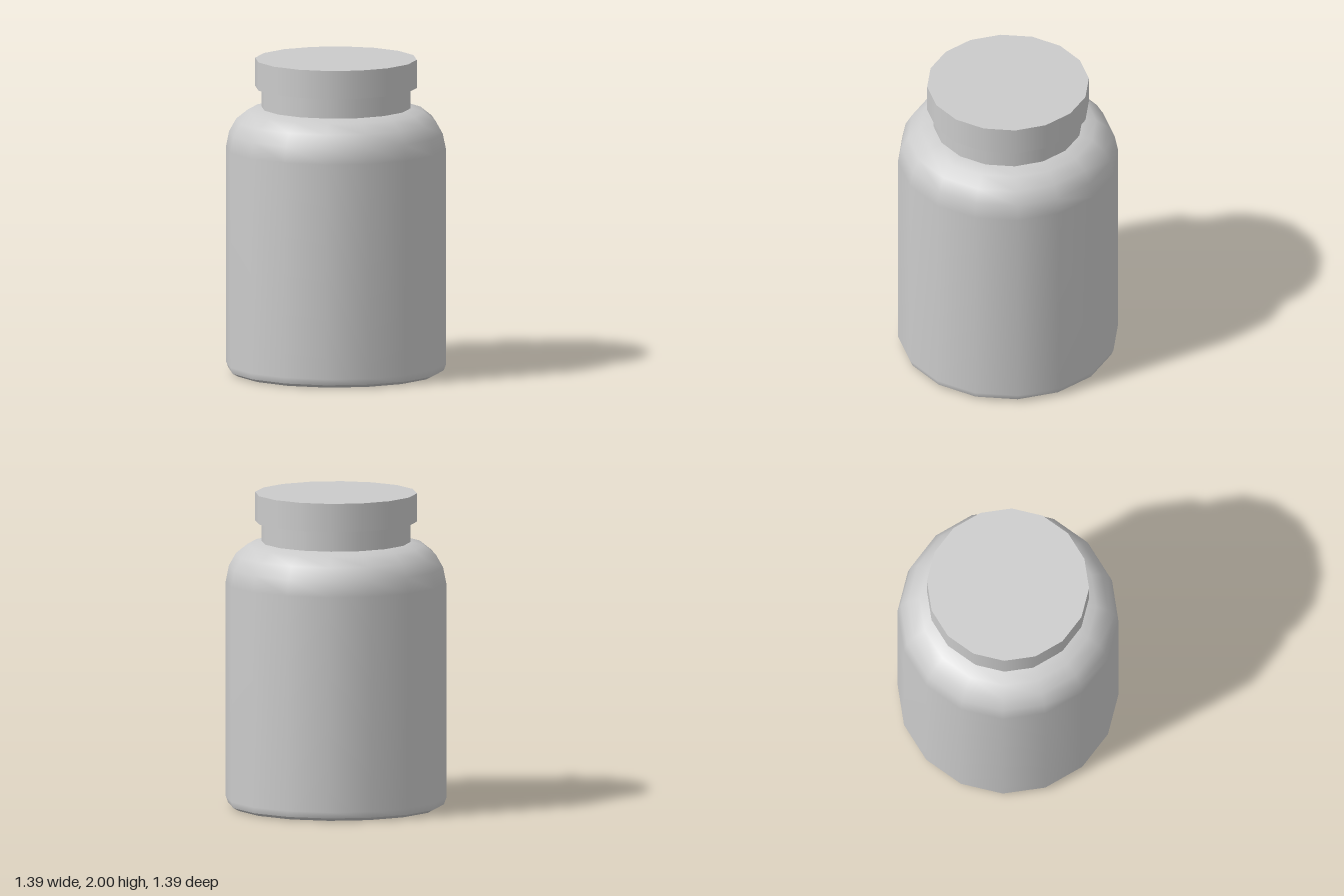
import * as THREE from 'three';

const SIDES = 16;
const TURN = THREE.MathUtils.degToRad(-4.2); // small twist of the polygon about y

export function createModel() {
  const group = new THREE.Group();
  group.name = 'bottle';
  const material = new THREE.MeshStandardMaterial({ color: 0xcccccc });

  const add = (name, geometry, y = 0) => {
    const mesh = new THREE.Mesh(geometry, material);
    mesh.name = name;
    mesh.position.y = y;
    group.add(mesh);
  };

  // Smooth surface of revolution from [radius, height] pairs, bottom to top
  const lathe = (profile) => new THREE.LatheGeometry(
    profile.map(([r, y]) => new THREE.Vector2(r, y)), SIDES, TURN);

  // Base, creased against the wall
  add('base', lathe([[0, 0], [0.645, 0], [0.682, 0.02]]));

  // Wall with rounded foot and shoulder
  add('body', lathe([
    [0.682, 0.02], [0.697, 0.06], [0.697, 1.43], [0.677, 1.53],
    [0.632, 1.61], [0.557, 1.67], [0.472, 1.69],
  ]));

  // Neck, running up to the underside of the cap
  add('neck', lathe([[0.472, 1.69], [0.472, 1.82]]));

  // Screw cap
  add('cap', new THREE.CylinderGeometry(0.512, 0.512, 0.18, SIDES, 1, false, TURN), 1.91);

  return group;
}
